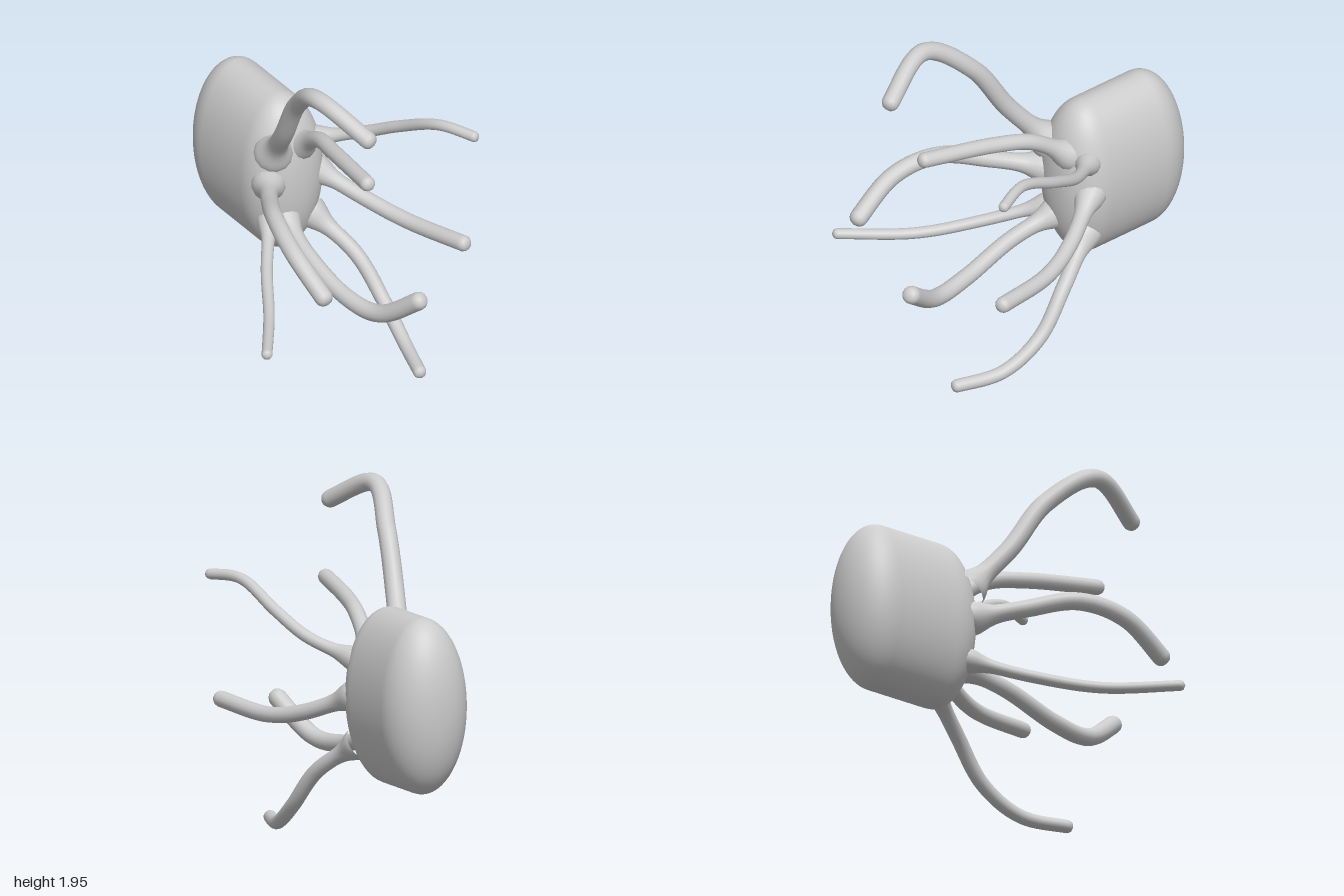
import * as THREE from 'three';
import { mergeVertices } from 'three/addons/utils/BufferGeometryUtils.js';

const material = new THREE.MeshStandardMaterial({ color: 0xcccccc });

// Oval capsule lying along z, with softly domed ends
function makeBody() {
  const profile = [];
  const steps = 18;
  const addDomePoint = (i, z, depth, power) => {
    const t = (i / steps) * Math.PI / 2;
    const r = i === steps ? 0 : Math.cos(t) ** (2 / power);
    profile.push(new THREE.Vector2(r, z + depth * Math.sin(t) ** (2 / power)));
  };
  for (let i = steps; i >= 0; i--) addDomePoint(i, -0.76, -0.24, 2.1);
  for (let i = 0; i <= steps; i++) addDomePoint(i, -0.37, 0.23, 2.2);
  const geometry = new THREE.LatheGeometry(profile, 64);
  geometry.rotateX(Math.PI / 2);
  geometry.scale(0.25, 0.495, 1);
  geometry.translate(0.11, 0.885, 0);
  const mesh = new THREE.Mesh(geometry, material);
  mesh.name = 'body';
  return mesh;
}

// Tube along a smooth path, with a flared root and a rounded tip
function makeTentacle(name, rootRadius, tipRadius, ...path) {
  const rings = 120, sides = 14;
  const curve = new THREE.CatmullRomCurve3(path.map((p) => new THREE.Vector3(...p)));
  const length = curve.getLength();
  const geometry = new THREE.TubeGeometry(curve, rings, 1, sides);
  const pos = geometry.attributes.position;
  const v = new THREE.Vector3();
  for (let i = 0; i <= rings; i++) {
    const u = i / rings;
    const centre = curve.getPointAt(u);
    let r = THREE.MathUtils.lerp(rootRadius, tipRadius, u);
    r *= 1 + Math.exp(-((u * length / 0.1) ** 2));
    const toEnd = (1 - u) * length;
    if (toEnd < tipRadius) r *= Math.sqrt(Math.max(0, 1 - (1 - toEnd / tipRadius) ** 2));
    for (let j = 0; j <= sides; j++) {
      const k = i * (sides + 1) + j;
      v.fromBufferAttribute(pos, k).sub(centre).multiplyScalar(r).add(centre);
      pos.setXYZ(k, v.x, v.y, v.z);
    }
  }
  // Weld the seam so the shading runs smoothly around the tube
  geometry.deleteAttribute('uv');
  geometry.deleteAttribute('normal');
  const smooth = mergeVertices(geometry, 1e-5);
  smooth.computeVertexNormals();
  const mesh = new THREE.Mesh(smooth, material);
  mesh.name = name;
  return mesh;
}

export function createModel() {
  const group = new THREE.Group();
  group.name = 'tentacledCapsule';
  group.add(makeBody());

  // Upper tentacles
  group.add(makeTentacle('topTentacle', 0.055, 0.05,
    [-0.02, 1.1, -0.22], [-0.1, 1.38, 0.01], [-0.15, 1.7, 0.22], [-0.22, 1.91, 0.52], [-0.09, 1.76, 0.89]));
  group.add(makeTentacle('upperLeftTentacle', 0.036, 0.03,
    [0.27, 1.08, -0.26], [0.45, 1.18, -0.02], [0.54, 1.3, 0.2], [0.61, 1.44, 0.5], [0.71, 1.44, 0.73]));
  group.add(makeTentacle('upperMiddleTentacle', 0.046, 0.044,
    [0.16, 1.1, -0.22], [0.12, 1.27, 0.03], [0.07, 1.32, 0.25], [-0.01, 1.38, 0.73]));

  // Side tentacles
  group.add(makeTentacle('rightTentacle', 0.048, 0.052,
    [-0.05, 0.91, -0.22], [-0.21, 0.98, 0.03], [-0.35, 1.05, 0.3], [-0.415, 1, 0.57], [-0.39, 0.82, 0.88]));
  group.add(makeTentacle('leftTentacle', 0.045, 0.046,
    [0.28, 0.88, -0.27], [0.45, 0.755, 0.02], [0.55, 0.71, 0.26], [0.66, 0.745, 0.71]));

  // Lower tentacles
  group.add(makeTentacle('lowerRightTentacle', 0.036, 0.03,
    [-0.03, 0.66, -0.24], [-0.25, 0.56, 0.06], [-0.45, 0.51, 0.38], [-0.72, 0.53, 0.76]));
  group.add(makeTentacle('lowerMiddleTentacle', 0.046, 0.052,
    [0.05, 0.66, -0.22], [0.01, 0.58, 0.08], [0.03, 0.485, 0.42], [0.08, 0.49, 0.68], [0.19, 0.7, 0.97]));
  group.add(makeTentacle('lowerLeftTentacle', 0.046, 0.037,
    [0.25, 0.61, -0.26], [0.38, 0.42, 0.01], [0.425, 0.2, 0.22], [0.4, 0.065, 0.46], [0.31, 0.045, 0.76]));
  return group;
}
